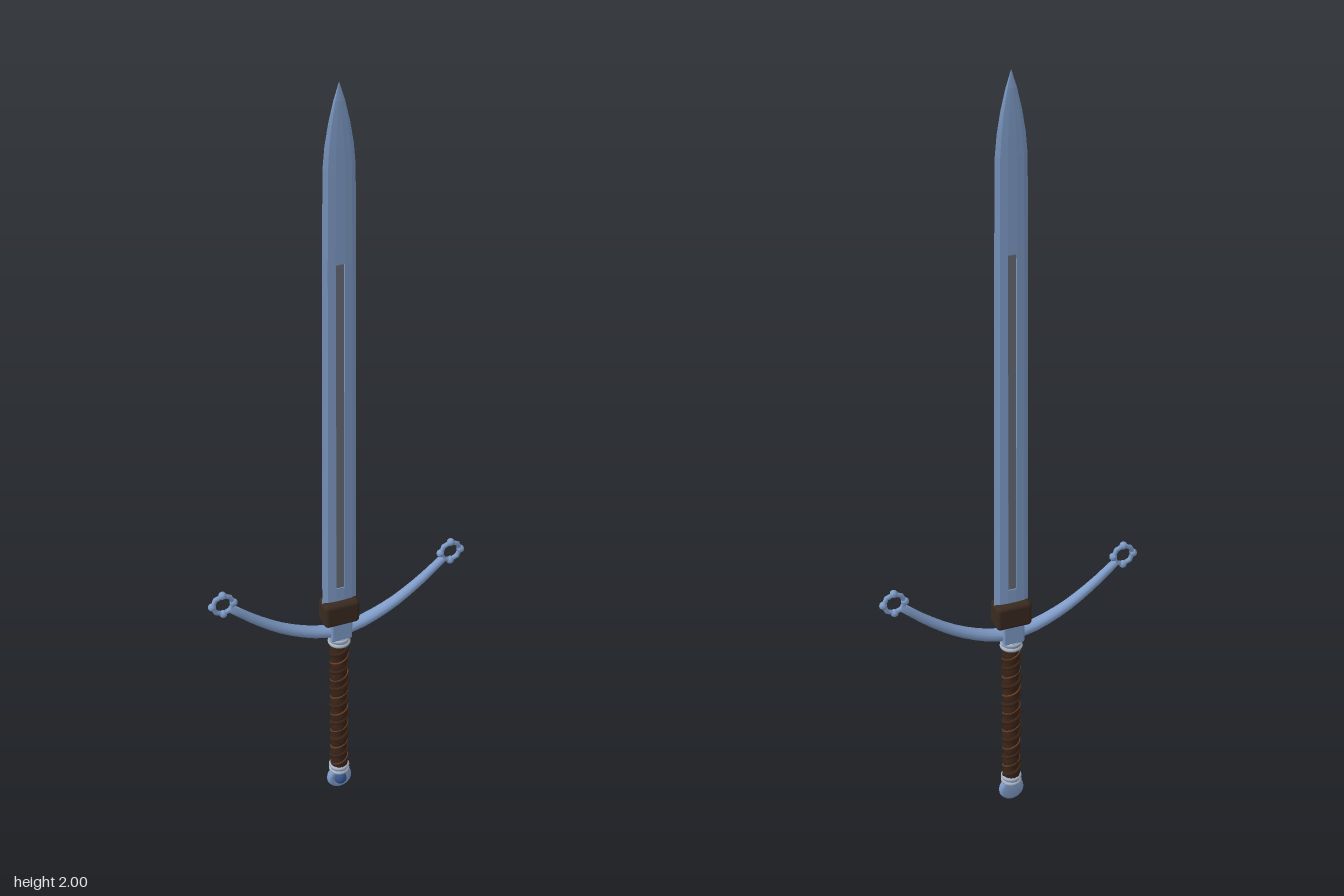
import * as THREE from 'three';
import { RoundedBoxGeometry } from 'three/addons/geometries/RoundedBoxGeometry.js';

const mat = (color, flatShading = false) => {
  const m = new THREE.MeshStandardMaterial({ color, flatShading, side: THREE.DoubleSide });
  return m;
};
const steel = mat(0x7f9cc8), steelFlat = mat(0x7f9cc8, true);
const fullerGrey = mat(0x686c76, true), leather = mat(0x3a2a20);
const wrap = mat(0x3a2418), cord = mat(0x6b3f22), collarGrey = mat(0xa9b4c4), gem = mat(0x34548c);

function add(parent, name, geometry, material, x = 0, y = 0, z = 0) {
  const mesh = new THREE.Mesh(geometry, material);
  mesh.name = name;
  mesh.position.set(x, y, z);
  parent.add(mesh);
  return mesh;
}

// Joins equal-length rings of Vector3 into a closed skin with end caps
function loft(rings) {
  const n = rings[0].length, pos = [], idx = [];
  rings.forEach(r => r.forEach(p => pos.push(p.x, p.y, p.z)));
  for (let i = 0; i < rings.length - 1; i++) {
    for (let j = 0; j < n; j++) {
      const a = i * n + j, b = i * n + (j + 1) % n;
      idx.push(a, a + n, b, b, a + n, b + n);
    }
  }
  const last = (rings.length - 1) * n;
  for (let j = 1; j < n - 1; j++) {
    idx.push(0, j, j + 1, last, last + j + 1, last + j);
  }
  const g = new THREE.BufferGeometry();
  g.setAttribute('position', new THREE.Float32BufferAttribute(pos, 3));
  g.setIndex(idx);
  g.computeVertexNormals();
  return g;
}

// Blade cross-section: sharp edges, bevels, flats and a sunken fuller on both faces
function bladeRing(y, w, t, groove) {
  const c = Math.min(0.011, w * 0.27), d = groove ? 0.003 : 0;
  const half = [[w, 0], [w * 0.72, t * 0.8], [c, t], [c * 0.8, t - d],
    [-c * 0.8, t - d], [-c, t], [-w * 0.72, t * 0.8]];
  return [...half, ...half.map(([x, z]) => [-x, -z])].map(([x, z]) => new THREE.Vector3(x, y, z));
}

function makeBlade() {
  const blade = new THREE.Group();
  blade.name = 'blade';
  const stations = [
    [0.6, 0.046, 0.009, 0], [0.68, 0.0455, 0.009, 0], [0.682, 0.0455, 0.009, 1],
    [1.578, 0.041, 0.0075, 1], [1.58, 0.041, 0.0075, 0], [1.81, 0.0385, 0.007, 0],
    [1.86, 0.034, 0.0065, 0], [1.91, 0.0255, 0.0055, 0], [1.96, 0.0135, 0.004, 0], [2, 0.0005, 0.0005, 0],
  ];
  add(blade, 'bladeBody', loft(stations.map(s => bladeRing(...s))), steelFlat);
  // Dark fuller floors
  for (const s of [-1, 1]) {
    const floor = add(blade, 'fuller', new THREE.BoxGeometry(0.021, 0.9, 0.001), fullerGrey, 0, 1.13, s * 0.0062);
    floor.rotation.x = -s * 0.00167;
  }
  return blade;
}

// Tapered curved arm with a knobbed ring at the end
function makeArm() {
  const arm = new THREE.Group();
  arm.name = 'guardArm';
  const path = new THREE.CatmullRomCurve3([[0, 0.543], [0.05, 0.548], [0.14, 0.583], [0.22, 0.635], [0.288, 0.692]]
    .map(([x, y]) => new THREE.Vector3(x, y, 0)));
  const rings = [];
  for (let i = 0; i <= 10; i++) {
    const u = i / 10, p = path.getPointAt(u), t = path.getTangentAt(u), ring = [];
    const rz = 0.02 - 0.01 * u, rn = 0.017 - 0.006 * u;
    for (let j = 0; j < 12; j++) {
      const a = -j / 12 * Math.PI * 2, n = Math.cos(a) * rn;
      ring.push(new THREE.Vector3(p.x - t.y * n, p.y + t.x * n, Math.sin(a) * rz));
    }
    rings.push(ring);
  }
  add(arm, 'armBar', loft(rings), steel);
  const ring = new THREE.Group();
  ring.name = 'endRing';
  ring.position.set(0.307, 0.708, 0);
  add(ring, 'ringLoop', new THREE.TorusGeometry(0.027, 0.0065, 8, 8), steel);
  for (let k = 0; k < 4; k++) {
    const a = k * Math.PI / 2;
    add(ring, 'ringKnob', new THREE.SphereGeometry(0.0105, 8, 6), steel, Math.cos(a) * 0.028, Math.sin(a) * 0.028, 0);
  }
  arm.add(ring);
  return arm;
}

function makeGrip() {
  const grip = new THREE.Group();
  grip.name = 'grip';
  // Leather core with gentle swells
  const profile = [];
  for (let i = 0; i <= 60; i++) {
    const u = i / 60;
    profile.push(new THREE.Vector2(0.0225 + 0.0012 * Math.sin(u * Math.PI * 20), 0.08 + 0.425 * u));
  }
  add(grip, 'gripCore', new THREE.LatheGeometry(profile, 20), wrap);
  // Spiral leather strap and thin cord between its turns
  const helix = (r, turns, phase) => {
    const pts = [];
    for (let i = 0; i <= turns * 16; i++) {
      const u = i / (turns * 16), a = u * turns * Math.PI * 2 + phase;
      pts.push(new THREE.Vector3(Math.cos(a) * r, 0.088 + 0.407 * u, -Math.sin(a) * r));
    }
    return new THREE.CatmullRomCurve3(pts);
  };
  add(grip, 'gripStrap', new THREE.TubeGeometry(helix(0.0215, 7, 0), 168, 0.0055, 6), wrap);
  add(grip, 'gripCord', new THREE.TubeGeometry(helix(0.0225, 7, Math.PI), 168, 0.0022, 5), cord);
  return grip;
}

function makePommel() {
  const pommel = new THREE.Group();
  pommel.name = 'pommel';
  pommel.position.y = 0.035;
  const disc = [[0, -0.012], [0.024, -0.012], [0.032, -0.008], [0.035, 0], [0.032, 0.008], [0.025, 0.012], [0.021, 0.009], [0, 0.009]]
    .map(([x, y]) => new THREE.Vector2(x, y));
  add(pommel, 'pommelDisc', new THREE.LatheGeometry(disc, 24), steel).rotation.x = Math.PI / 2;
  const boss = add(pommel, 'pommelGem', new THREE.SphereGeometry(0.017, 16, 10), gem, 0, 0, 0.011);
  boss.scale.z = 0.85;
  return pommel;
}

export function createModel() {
  const sword = new THREE.Group();
  sword.name = 'sword';
  sword.add(makeBlade());

  // Leather rain guard around the blade root
  add(sword, 'rainGuard', new RoundedBoxGeometry(0.095, 0.068, 0.057, 3, 0.011), leather, 0, 0.607, 0);

  // Cross guard: centre block and mirrored arms
  add(sword, 'guardBlock', new RoundedBoxGeometry(0.058, 0.058, 0.046, 2, 0.006), steel, 0, 0.55, 0);
  for (const turn of [0, Math.PI]) {
    const arm = makeArm();
    arm.rotation.y = turn;
    sword.add(arm);
  }

  sword.add(makeGrip());

  // Collars at both ends of the grip
  for (const [y, r] of [[0.512, 0.029], [0.072, 0.027]]) {
    add(sword, 'collar', new THREE.CylinderGeometry(r - 0.003, r - 0.003, 0.026, 20), steel, 0, y, 0);
    for (const s of [-1, 1]) {
      add(sword, 'collarBand', new THREE.TorusGeometry(r - 0.005, 0.006, 8, 20), collarGrey, 0, y + s * 0.007, 0).rotation.x = Math.PI / 2;
    }
  }

  sword.add(makePommel());
  return sword;
}
